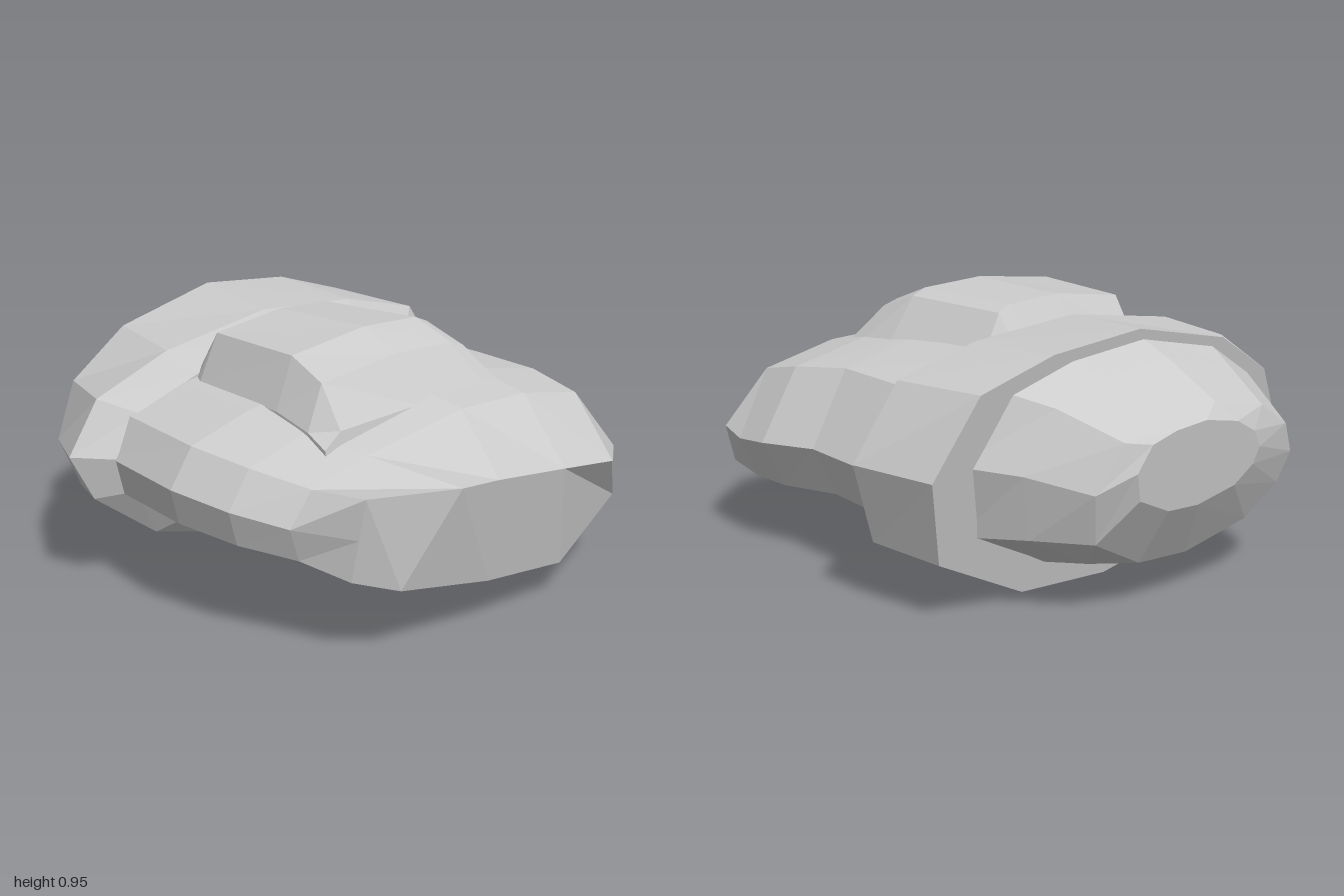
import * as THREE from 'three';

const material = new THREE.MeshStandardMaterial({ color: 0xcccccc, flatShading: true });

// Cross-sections as [z, y], z from -1 to 1 and y from 0 to 1, going front, top, back, bottom
const bandSection = [
  [1, 0.58], [0.86, 0.79], [0.52, 0.92], [0.02, 1], [-0.45, 0.96], [-0.81, 0.86],
  [-1, 0.56], [-0.91, 0.23], [-0.43, 0.02], [0.05, 0], [0.62, 0.16], [0.9, 0.38],
];
const lobeSection = [
  [1, 0.52], [0.87, 0.73], [0.55, 0.9], [0.02, 1], [-0.45, 0.96], [-0.81, 0.86],
  [-1, 0.56], [-0.91, 0.23], [-0.43, 0.02], [0.05, 0], [0.64, 0.12], [0.92, 0.32],
];
const bodySection = [
  [1, 0.57], [0.9, 0.78], [0.6, 0.89], [0.02, 1], [-0.4, 0.98], [-0.8, 0.87],
  [-1, 0.47], [-0.9, 0.2], [-0.42, 0], [0.05, 0], [0.66, 0.2], [0.95, 0.37],
];
const endSection = [
  [1, 0.67], [1, 0.98], [0.55, 0.96], [0.3, 0.93], [-0.2, 0.83], [-0.62, 0.73],
  [-1, 0.62], [-0.9, 0.29], [-0.34, 0], [0.22, 0.1], [0.8, 0.26], [1, 0.35],
];
const moundSection = [
  [1, 0.45], [0.83, 0.9], [0.02, 1], [-0.6, 0.97], [-0.74, 0.91], [-1, 0.52], [-1, 0], [1, 0],
];

// Skins rings [section, xTop, xBottom, yBottom, yTop, zFront, zBack, bow], bow rounding the x of the z ends
function loft(name, rings) {
  const n = rings[0][0].length;
  const pos = [];
  const index = [];
  for (const [section, xTop, xBottom, y0, y1, zFront, zBack, bow = 0] of rings) {
    for (const [u, v] of section) {
      const z = (zFront + zBack) / 2 + u * (zFront - zBack) / 2;
      pos.push(xBottom + (xTop - xBottom) * v - bow * (u - 0.04) ** 6, y0 + (y1 - y0) * v, z);
    }
  }
  for (let r = 0; r < rings.length - 1; r++) {
    for (let j = 0; j < n; j++) {
      const k = (j + 1) % n;
      const a = r * n + j, b = a + n, c = (r + 1) * n + k, d = r * n + k;
      index.push(a, b, c, a, c, d);
    }
  }
  // End caps, as strips between the upper and lower halves
  const last = (rings.length - 1) * n;
  const cap = (a, b, c) => index.push(a, b, c, last + a, last + c, last + b);
  for (let j = 0; j < n - 1 - j; j++) {
    if (j + 1 < n - 1 - j) cap(j, j + 1, n - 1 - j);
    if (j > 0) cap(j, n - 1 - j, n - j);
  }
  const geometry = new THREE.BufferGeometry();
  geometry.setAttribute('position', new THREE.Float32BufferAttribute(pos, 3));
  geometry.setIndex(index);
  geometry.computeVertexNormals();
  const mesh = new THREE.Mesh(geometry, material);
  mesh.name = name;
  return mesh;
}

export function createModel() {
  const rock = new THREE.Group();
  rock.name = 'rock';
  rock.add(
    // Rounded lobe on the right end
    loft('endLobe', [
      [lobeSection, -1, -0.96, 0.37, 0.67, 0.22, -0.36],
      [lobeSection, -0.95, -0.82, 0.15, 0.71, 0.49, -0.46],
      [lobeSection, -0.76, -0.66, 0.12, 0.83, 0.57, -0.61],
      [lobeSection, -0.62, -0.44, 0.09, 0.9, 0.67, -0.76],
    ]),
    // Raised slanted band
    loft('band', [
      [lobeSection, -0.67, -0.48, 0, 0.92, 0.75, -0.88],
      [bandSection, -0.26, -0.22, 0.03, 0.9, 0.94, -0.94],
      [bandSection, -0.18, -0.14, 0.12, 0.8, 0.8, -0.81],
    ]),
    // Main mass, flattened towards its left end
    loft('body', [
      [bodySection, -0.24, -0.2, 0.12, 0.8, 0.79, -0.8],
      [bodySection, 0.24, 0.18, 0.14, 0.8, 0.86, -0.79],
      [bodySection, 0.48, 0.44, 0.13, 0.77, 0.82, -0.84],
      [bodySection, 0.7, 0.66, 0.13, 0.72, 0.73, -0.82, 0.03],
      [endSection, 1.01, 0.91, 0.13, 0.61, 0.61, -0.8, 0.16],
    ]),
    // Step on top of the main mass
    loft('topMound', [
      [moundSection, -0.19, -0.19, 0.55, 0.8, 0.44, -0.27],
      [moundSection, -0.1, -0.16, 0.55, 0.945, 0.44, -0.29],
      [moundSection, 0.32, 0.32, 0.55, 0.955, 0.48, -0.36],
      [moundSection, 0.48, 0.51, 0.55, 0.89, 0.5, -0.38],
      [moundSection, 0.59, 0.61, 0.62, 0.73, 0.52, -0.4],
    ]),
  );
  return rock;
}
